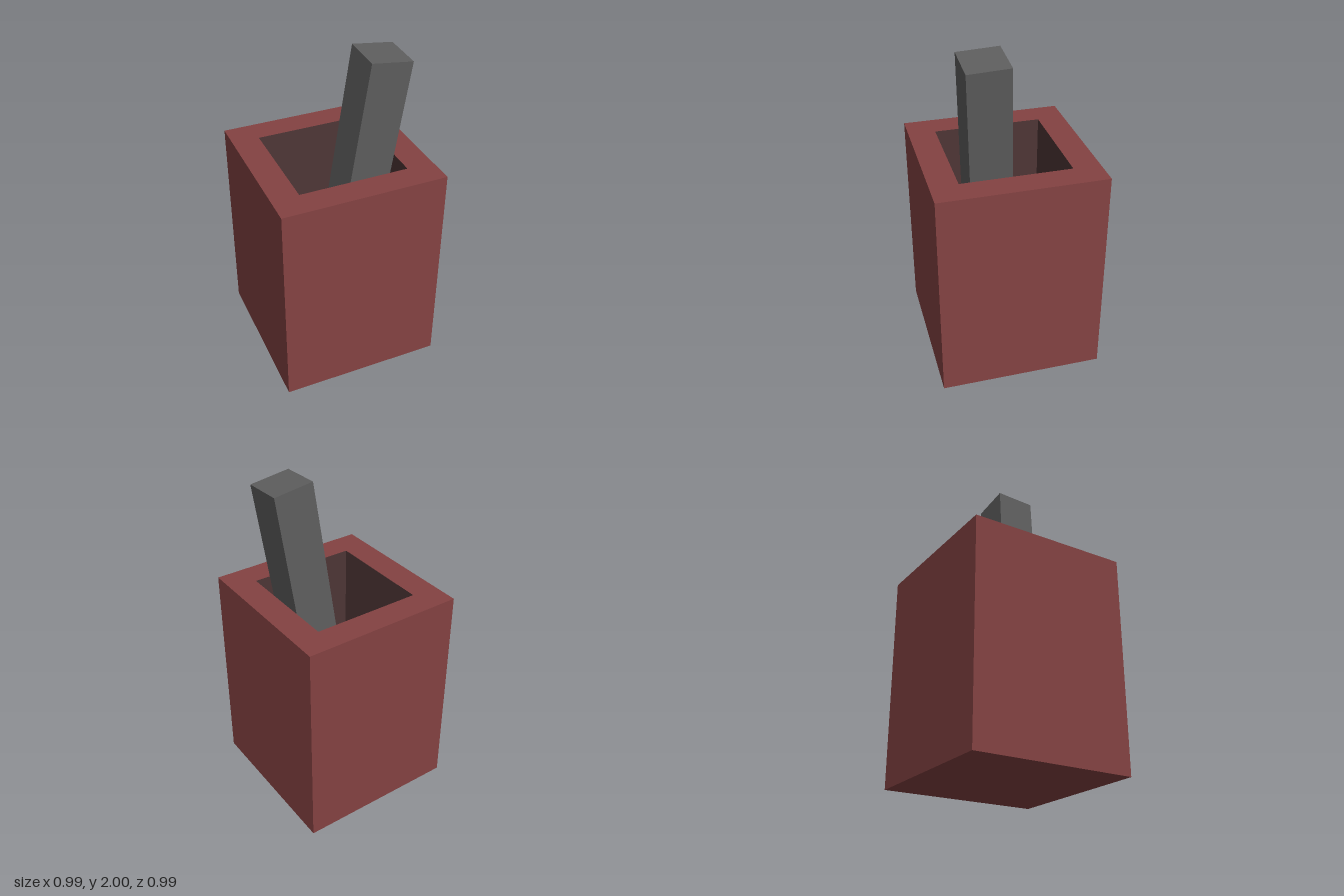
import * as THREE from 'three';

const SIZE = 0.99, HEIGHT = 1.32, HOLE = 0.66, FLOOR = 0.66;

export function createModel() {
  const red = new THREE.MeshStandardMaterial({ color: 0x844242 });
  red.name = 'clayRed';
  const brown = new THREE.MeshStandardMaterial({ color: 0x4e3636 });
  brown.name = 'innerBrown';
  const grey = new THREE.MeshStandardMaterial({ color: 0x5e5e5e });
  grey.name = 'stoneGrey';

  const model = new THREE.Group();
  model.name = 'mortarAndPestle';
  const add = (name, geometry, material, parent = model) => {
    const mesh = new THREE.Mesh(geometry, material);
    mesh.name = name;
    parent.add(mesh);
    return mesh;
  };
  const square = (s) => [[-s, -s], [s, -s], [s, s], [-s, s]].map(([x, y]) => new THREE.Vector2(x / 2, y / 2));

  const mortar = new THREE.Group();
  mortar.name = 'mortar';
  model.add(mortar);

  // Outer walls face outwards, cavity walls face inwards
  for (let i = 0; i < 4; i++) {
    const turn = i * Math.PI / 2;
    add('outerWall', new THREE.PlaneGeometry(SIZE, HEIGHT)
      .translate(0, HEIGHT / 2, SIZE / 2).rotateY(turn), red, mortar);
    add('cavityWall', new THREE.PlaneGeometry(HOLE, HEIGHT - FLOOR)
      .translate(0, (HEIGHT + FLOOR) / 2, -HOLE / 2).rotateY(turn), brown, mortar);
  }

  // Square rim around the opening
  const rim = new THREE.Shape(square(SIZE));
  rim.holes.push(new THREE.Path(square(HOLE).reverse()));
  add('rim', new THREE.ShapeGeometry(rim).rotateX(-Math.PI / 2).translate(0, HEIGHT, 0), red, mortar);

  // Cavity floor and underside
  add('cavityFloor', new THREE.PlaneGeometry(HOLE, HOLE)
    .rotateX(-Math.PI / 2).translate(0, FLOOR, 0), brown, mortar);
  add('underside', new THREE.PlaneGeometry(SIZE, SIZE).rotateX(Math.PI / 2), red, mortar);

  // Square pestle leaning in the cavity
  const pestle = add('pestle', new THREE.BoxGeometry(0.248, 1.32, 0.248), grey);
  pestle.position.set(0.145, 1.324, 0.13);
  pestle.rotation.set(THREE.MathUtils.degToRad(2.5), 0, THREE.MathUtils.degToRad(-7.5));

  return model;
}
